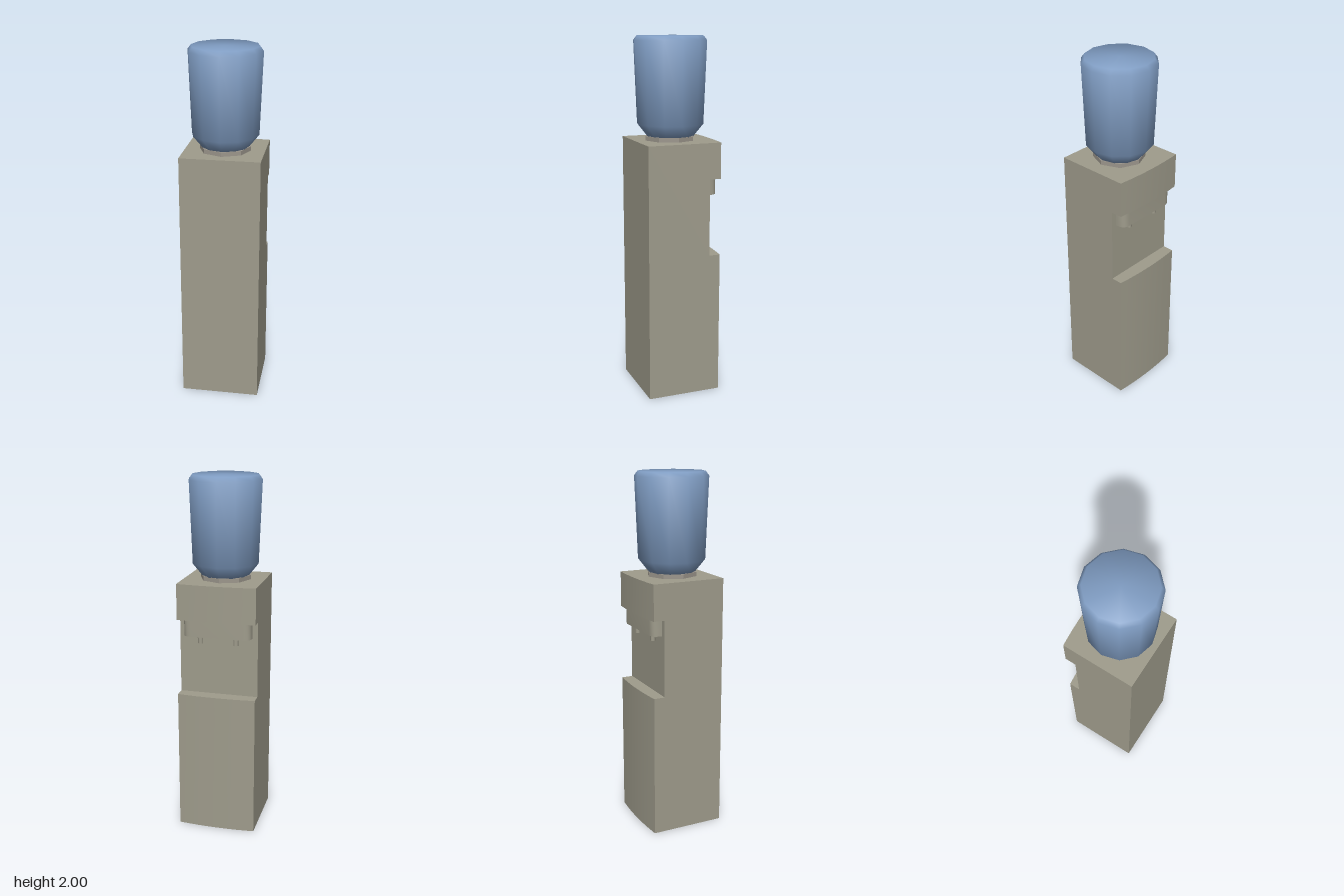
import * as THREE from 'three';
import { toCreasedNormals } from 'three/addons/utils/BufferGeometryUtils.js';

const cabinetGrey = new THREE.MeshStandardMaterial({ color: 0x9f9c8c, side: THREE.DoubleSide });
cabinetGrey.name = 'cabinetGrey';
const collarGrey = new THREE.MeshStandardMaterial({ color: 0x9c968c });
collarGrey.name = 'collarGrey';
const bottleBlue = new THREE.MeshStandardMaterial({ color: 0x7f9cc2, side: THREE.DoubleSide });
bottleBlue.name = 'bottleBlue';

const HALF = 0.22, BACK = 0.215, FRONT = 0.203, RECESS = 0.14, TOP = 1.435;
const bulge = (x) => 0.012 * (1 - (x / HALF) ** 2);

function add(parent, name, geometry, material) {
  const mesh = new THREE.Mesh(geometry, material);
  mesh.name = name;
  parent.add(mesh);
  return mesh;
}

// Notched side profile swept across the width, bowed at the dispensing face, open underneath
function cabinetGeometry() {
  const profile = new THREE.Shape([
    [-BACK, 0], [FRONT, 0], [FRONT, 0.805], [RECESS, 0.805],
    [RECESS, 1.235], [FRONT, 1.235], [FRONT, TOP], [-BACK, TOP],
  ].map(([x, y]) => new THREE.Vector2(x, y)));
  const swept = new THREE.ExtrudeGeometry(profile, { depth: 2 * HALF, steps: 8, bevelEnabled: false });
  swept.rotateY(Math.PI / 2).translate(-HALF, 0, 0);
  const p = swept.attributes.position;
  const kept = [];
  for (let i = 0; i < p.count; i += 3) {
    const corners = [i, i + 1, i + 2];
    if (corners.every((k) => p.getY(k) < 1e-4)) continue;
    for (const k of corners) {
      const x = p.getX(k), z = p.getZ(k);
      kept.push(x, p.getY(k), z < -FRONT + 1e-3 ? z - bulge(x) : z);
    }
  }
  const geometry = new THREE.BufferGeometry();
  geometry.setAttribute('position', new THREE.Float32BufferAttribute(kept, 3));
  return toCreasedNormals(geometry, 0.6);
}

// Tap housing: rounded at its two outer corners
function housingGeometry() {
  const w = 0.19, d = 0.197, r = 0.045;
  const s = new THREE.Shape();
  s.moveTo(-w, RECESS - 0.005);
  s.lineTo(w, RECESS - 0.005);
  s.lineTo(w, d - r);
  s.quadraticCurveTo(w, d, w - r, d);
  s.lineTo(-w + r, d);
  s.quadraticCurveTo(-w, d, -w, d - r);
  s.closePath();
  const g = new THREE.ExtrudeGeometry(s, { depth: 0.092, bevelEnabled: false, curveSegments: 5 });
  return toCreasedNormals(g.rotateX(-Math.PI / 2).translate(0, 1.143, 0), 0.6);
}

export function createModel() {
  const model = new THREE.Group();
  model.name = 'waterDispenser';

  add(model, 'cabinet', cabinetGeometry(), cabinetGrey);
  add(model, 'tapHousing', housingGeometry(), cabinetGrey);

  // Pair of taps below the housing
  for (const side of [-1, 1]) {
    const tap = new THREE.Group();
    tap.name = side > 0 ? 'leftTap' : 'rightTap';
    tap.position.set(side * 0.1, 0, -0.154);
    add(tap, 'spout', new THREE.CylinderGeometry(0.014, 0.014, 0.046, 10), cabinetGrey).position.y = 1.122;
    add(tap, 'spoutRim', new THREE.CylinderGeometry(0.017, 0.017, 0.012, 10), cabinetGrey).position.y = 1.136;
    model.add(tap);
  }

  // Collar that seats the bottle
  add(model, 'collar', toCreasedNormals(new THREE.CylinderGeometry(0.142, 0.142, 0.025, 8), 0.6), collarGrey)
    .position.set(0, 1.4465, 0.012);

  // Upturned bottle
  const profile = [[0, 1.455], [0.13, 1.455], [0.186, 1.525], [0.203, 1.975], [0.184, 2], [0, 2]]
    .map(([r, y]) => new THREE.Vector2(r, y));
  add(model, 'bottle', toCreasedNormals(new THREE.LatheGeometry(profile, 12), 0.95), bottleBlue)
    .position.z = 0.01;

  return model;
}
